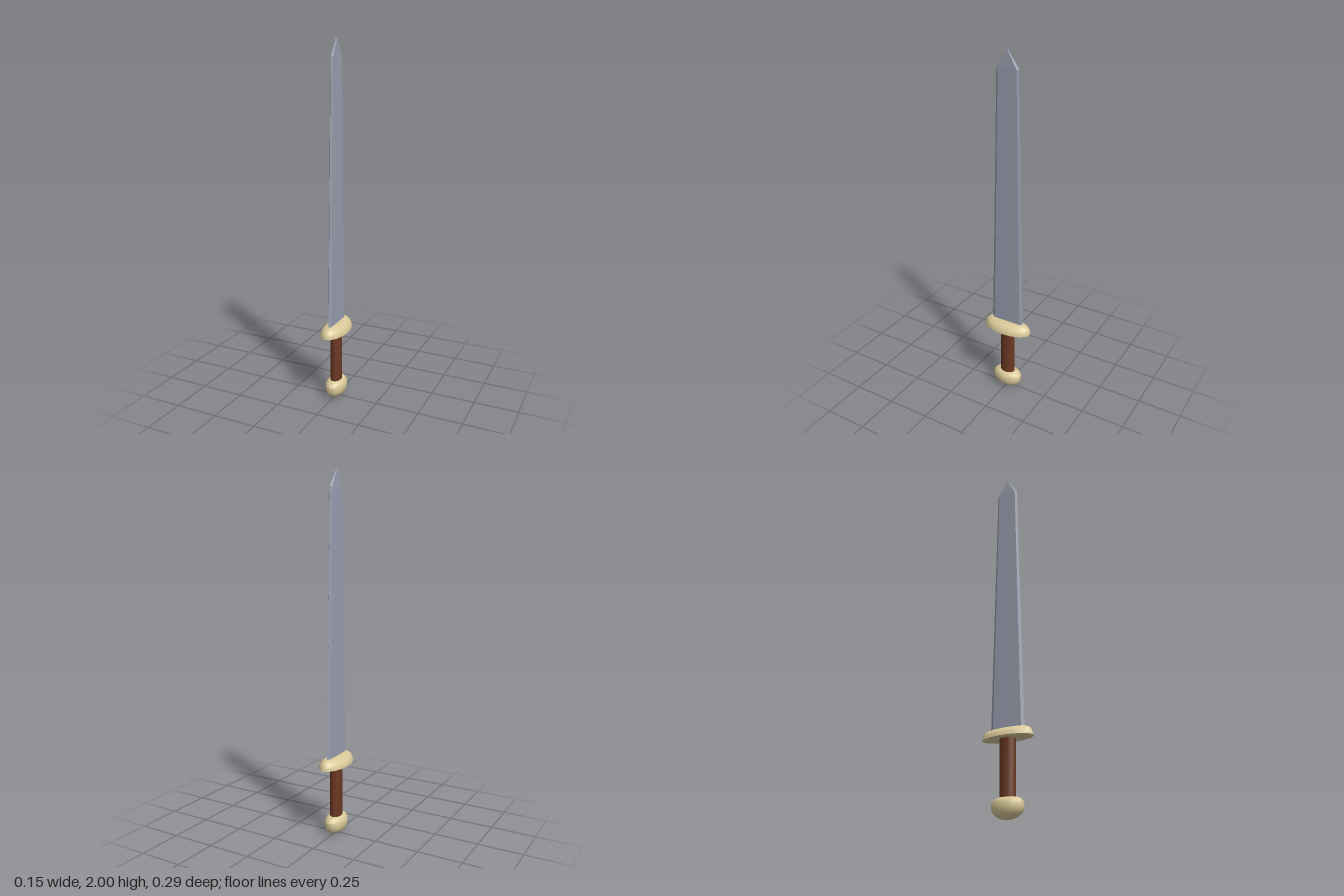
import * as THREE from 'three';
import { toCreasedNormals } from 'three/addons/utils/BufferGeometryUtils.js';

// Skin a stack of rings (each an array of [x, y, z]) and close both ends.
function loft(rings, crease) {
  const n = rings[0].length;
  const pos = [];
  const tri = (...corners) => corners.forEach((p) => pos.push(...p));
  const middle = (ring) => [0, ring[0][1], 0];
  const first = rings[0];
  const last = rings[rings.length - 1];
  for (let i = 0; i < n; i++) {
    const j = (i + 1) % n;
    for (let k = 0; k < rings.length - 1; k++) {
      const low = rings[k];
      const high = rings[k + 1];
      tri(low[i], high[i], low[j]);
      tri(low[j], high[i], high[j]);
    }
    tri(middle(first), first[i], first[j]);
    tri(middle(last), last[j], last[i]);
  }
  const geometry = new THREE.BufferGeometry();
  geometry.setAttribute('position', new THREE.Float32BufferAttribute(pos, 3));
  return toCreasedNormals(geometry, crease);
}

// Oval ring with half widths rx and rz at height y.
function oval(y, rx, rz, sides = 16) {
  return Array.from({ length: sides }, (_, i) => {
    const a = (i / sides) * Math.PI * 2;
    return [rx * Math.cos(a), y, rz * Math.sin(a)];
  });
}

// Blade section: flat faces with a bevel down to each cutting edge.
function bladeSection(y, thick, width, bevel) {
  const w = width - bevel;
  return [
    [thick, y, 0], [thick * 0.95, y, w], [0, y, width], [-thick * 0.95, y, w],
    [-thick, y, 0], [-thick * 0.95, y, -w], [0, y, -width], [thick * 0.95, y, -w],
  ];
}

export function createModel() {
  const steel = new THREE.MeshStandardMaterial({ color: 0x9a9dae });
  steel.name = 'steel';
  const bone = new THREE.MeshStandardMaterial({ color: 0xd9c999 });
  bone.name = 'bone';
  const leather = new THREE.MeshStandardMaterial({ color: 0x6b3822 });
  leather.name = 'leather';

  const model = new THREE.Group();
  model.name = 'sword';
  const add = (name, geometry, material) => {
    const mesh = new THREE.Mesh(geometry, material);
    mesh.name = name;
    model.add(mesh);
  };

  // Tapered blade with a short point
  add('blade', loft([
    bladeSection(0.43, 0.01, 0.1, 0.016),
    bladeSection(1.91, 0.008, 0.065, 0.012),
    bladeSection(2, 0.004, 0, 0),
  ], 0.03), steel);

  // Domed guard, rounding from an oval base up to the blade
  const guard = [];
  for (let k = 0; k <= 6; k++) {
    const a = (k / 6) * Math.PI / 2;
    guard.push(oval(0.402 + 0.053 * Math.sin(a), 0.012 + 0.061 * Math.cos(a), 0.098 + 0.049 * Math.cos(a)));
  }
  add('guard', loft(guard, 0.9), bone);

  // Oval grip
  add('grip', loft([oval(0.09, 0.031, 0.044), oval(0.41, 0.031, 0.044)], 0.9), leather);

  // Pommel: rounded underside, upright rim and sloped shoulder
  const pommel = [];
  for (let k = 0; k <= 5; k++) {
    const a = (k / 5) * Math.PI / 2;
    pommel.push(oval(0.055 - 0.055 * Math.cos(a), 0.056 * Math.sin(a), 0.088 * Math.sin(a)));
  }
  pommel.push(oval(0.08, 0.056, 0.088), oval(0.096, 0.047, 0.076), oval(0.104, 0.037, 0.062));
  add('pommel', loft(pommel, 0.7), bone);

  return model;
}
